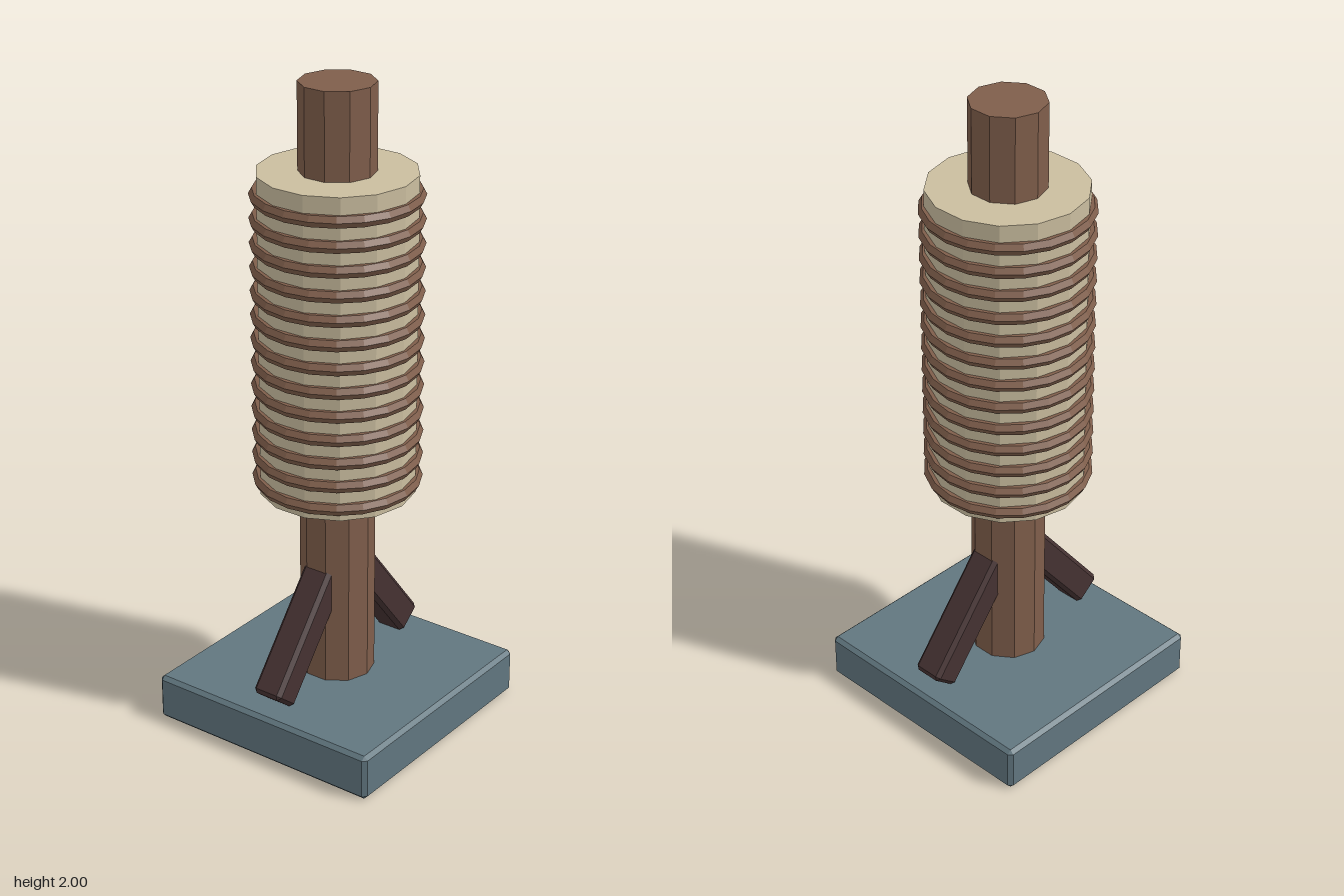
import * as THREE from 'three';
import { ConvexGeometry } from 'three/addons/geometries/ConvexGeometry.js';

const mat = (name, color) => {
  const m = new THREE.MeshStandardMaterial({ color, flatShading: true });
  m.name = name;
  return m;
};

// Box with flat chamfers of size b on every edge
function chamferBox(w, h, d, b) {
  const pts = [];
  for (const sx of [-1, 1]) for (const sy of [-1, 1]) for (const sz of [-1, 1]) {
    const x = w / 2, y = h / 2, z = d / 2;
    pts.push(
      new THREE.Vector3(sx * x, sy * (y - b), sz * (z - b)),
      new THREE.Vector3(sx * (x - b), sy * y, sz * (z - b)),
      new THREE.Vector3(sx * (x - b), sy * (y - b), sz * z));
  }
  return new ConvexGeometry(pts);
}

export function createModel() {
  const group = new THREE.Group();
  group.name = 'strikingPost';
  const slate = mat('slate', 0x61767f);
  const wood = mat('wood', 0x7f5e4b);
  const darkWood = mat('darkWood', 0x453232);
  const padding = mat('padding', 0xcabd9f);

  const add = (name, geometry, material, x, y, z) => {
    const mesh = new THREE.Mesh(geometry, material);
    mesh.name = name;
    mesh.position.set(x, y, z);
    group.add(mesh);
    return mesh;
  };

  // Base slab and ten-sided post
  add('base', chamferBox(0.78, 0.145, 0.78, 0.012), slate, 0, 0.0725, 0);
  add('post', new THREE.CylinderGeometry(0.113, 0.113, 1.9, 10), wood, 0, 1.05, 0);

  // Padded sleeve
  add('sleeve', new THREE.CylinderGeometry(0.235, 0.235, 0.985, 14), padding, 0, 1.2475, 0);

  // Binding rings, evenly spaced up the sleeve
  const ring = new THREE.TorusGeometry(0.233, 0.02, 6, 20).rotateX(Math.PI / 2);
  for (let i = 0; i < 13; i++) {
    add('bindingRing' + (i + 1), ring, wood, 0, 0.793 + i * 0.0732, 0);
  }

  // Slanted braces, running into the post on both sides
  const length = 0.43, tilt = 0.68;
  const brace = chamferBox(0.1, length, 0.1, 0.012);
  for (const s of [1, -1]) {
    const x = 0.322 - Math.sin(tilt) * length / 2;
    const y = 0.169 + Math.cos(tilt) * length / 2;
    add(s > 0 ? 'leftBrace' : 'rightBrace', brace, darkWood, s * x, y, 0).rotation.z = s * tilt;
  }
  return group;
}
